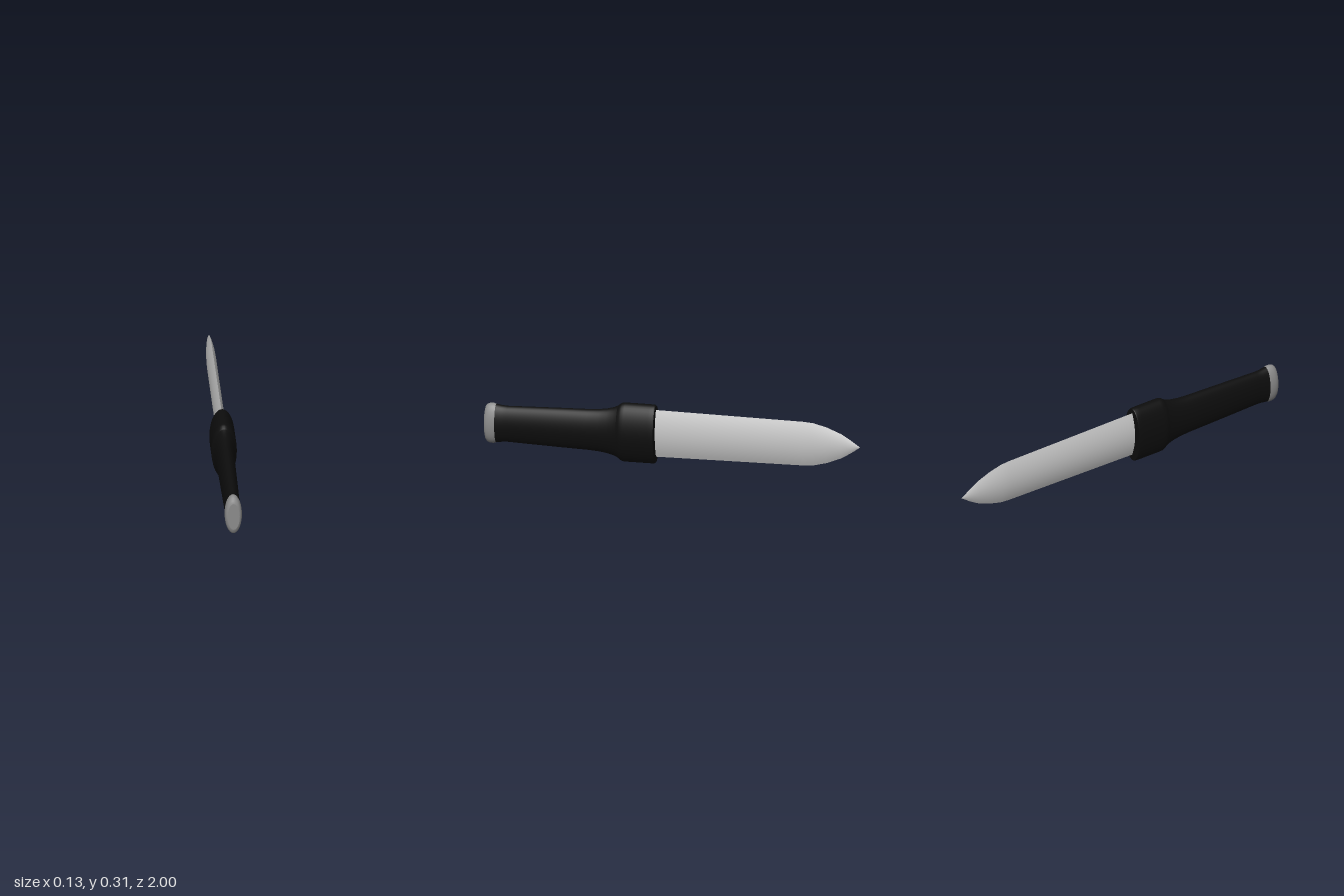
import * as THREE from 'three';

const steel = new THREE.MeshStandardMaterial({ color: 0xc6c6c6 });
steel.name = 'bladeSteel';
const darkSteel = new THREE.MeshStandardMaterial({ color: 0x8c8c8c });
darkSteel.name = 'pommelSteel';
const black = new THREE.MeshStandardMaterial({ color: 0x0d0d0d });
black.name = 'gripBlack';

const CENTER_Y = 0.156;

// Oval turned part lying along z; profile entries are [half height, z], back to front
function ovalTurning(name, profile, material) {
  const points = profile.map(([r, z]) => new THREE.Vector2(r, z));
  const geometry = new THREE.LatheGeometry(points, 48);
  geometry.scale(0.42, 1, 1);
  geometry.rotateX(Math.PI / 2);
  const mesh = new THREE.Mesh(geometry, material);
  mesh.name = name;
  mesh.position.y = CENTER_Y;
  return mesh;
}

// One curved face of the lens-section blade; stations are [z, half height, half thickness]
function bladeFace(side) {
  const stations = [
    [0.1, 0.124, 0.025], [-0.3, 0.12, 0.025], [-0.7, 0.116, 0.025], [-0.75, 0.112, 0.024],
    [-0.82, 0.095, 0.021], [-0.9, 0.064, 0.014], [-0.95, 0.034, 0.008], [-1, 0, 0],
  ];
  const columns = 16;
  const geometry = new THREE.PlaneGeometry(2, 2, columns, stations.length - 1);
  const position = geometry.attributes.position;
  for (let i = 0; i < position.count; i++) {
    const [z, height, thickness] = stations[Math.floor(i / (columns + 1))];
    const t = position.getX(i) * side;
    position.setXYZ(i, side * thickness * (1 - t * t), 0.16 + height * t, z);
  }
  geometry.computeVertexNormals();
  const mesh = new THREE.Mesh(geometry, steel);
  mesh.name = side > 0 ? 'bladeLeftFace' : 'bladeRightFace';
  return mesh;
}

export function createModel() {
  const model = new THREE.Group();
  model.name = 'dagger';

  // Blade
  const blade = new THREE.Group();
  blade.name = 'blade';
  blade.add(bladeFace(1), bladeFace(-1));
  model.add(blade);

  // Collar with a flat face towards the blade
  model.add(ovalTurning('collarFace', [[0, 0.09], [0.151, 0.09]], black));
  model.add(ovalTurning('collar', [
    [0.151, 0.09], [0.155, 0.096], [0.156, 0.12], [0.156, 0.25], [0.155, 0.265],
    [0.15, 0.277], [0.139, 0.29],
  ], black));

  // Tapered grip
  model.add(ovalTurning('grip', [
    [0.139, 0.29], [0.129, 0.31], [0.119, 0.345], [0.112, 0.39], [0.108, 0.45],
    [0.104, 0.6], [0.099, 0.76], [0.095, 0.88], [0.097, 0.91], [0.102, 0.942],
  ], black));

  // Rounded pommel with a flat end
  model.add(ovalTurning('pommel', [
    [0.102, 0.942], [0.106, 0.955], [0.106, 0.972], [0.101, 0.986], [0.09, 0.996], [0.074, 1],
  ], darkSteel));
  model.add(ovalTurning('pommelCap', [[0.074, 1], [0, 1]], darkSteel));

  return model;
}
